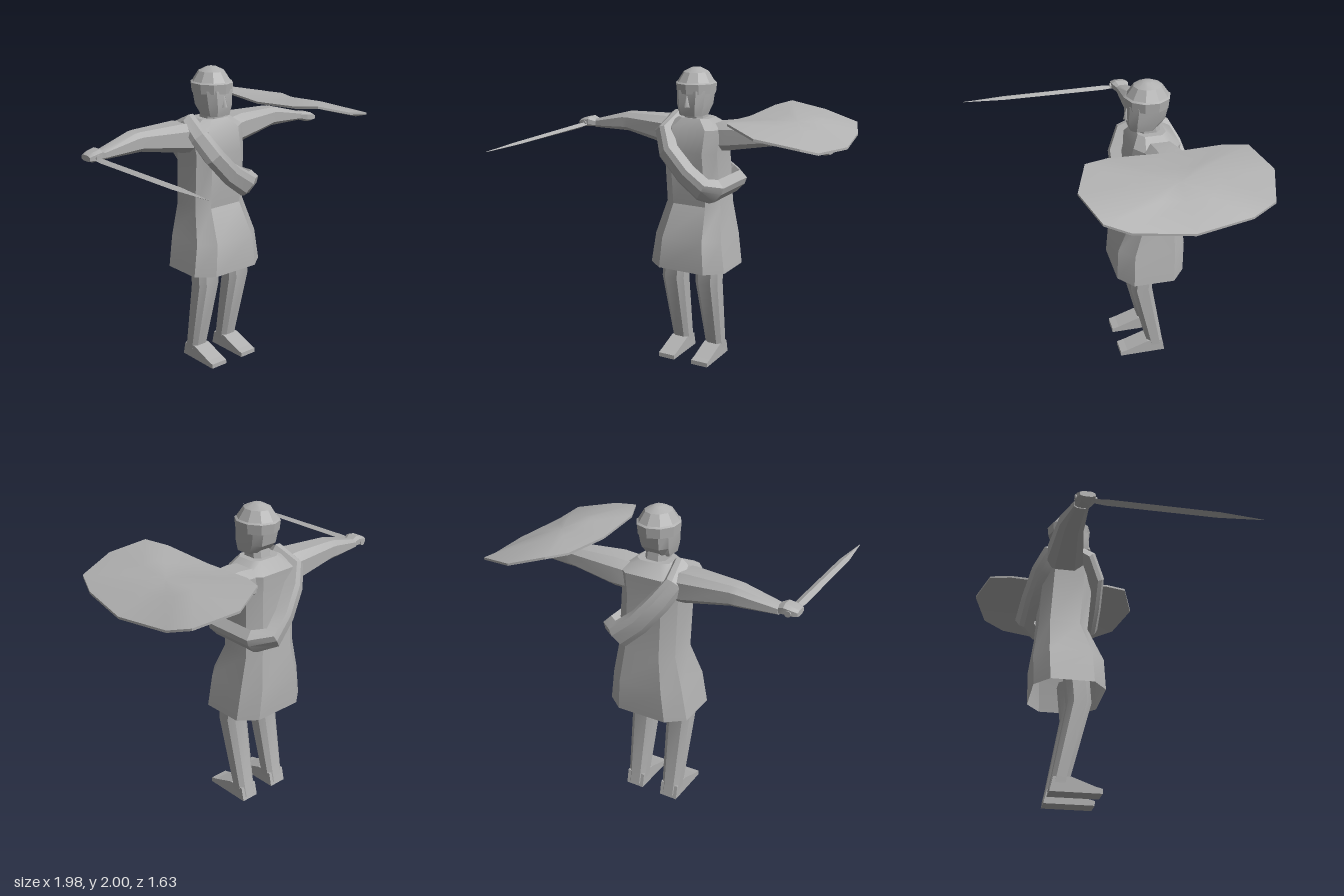
import * as THREE from 'three';
import { toCreasedNormals } from 'three/addons/utils/BufferGeometryUtils.js';

const V = (x, y, z) => new THREE.Vector3(x, y, z);
const CX = -0.058; // centre line of the figure

export function createModel() {
  const model = new THREE.Group();
  const grey = new THREE.MeshStandardMaterial({ color: 0xb0b0b0, side: THREE.DoubleSide });
  grey.name = 'plainGrey';

  function add(name, geo, parent = model) {
    const mesh = new THREE.Mesh(geo, grey);
    mesh.name = name;
    parent.add(mesh);
    return mesh;
  }

  // Skin a list of equal-sized rings; optionally cap the ends or close the loop
  function loft(rings, { start = true, end = true, loop = false, crease = 0.6 } = {}) {
    const n = rings[0].length, m = rings.length, pos = [], idx = [];
    rings.forEach(r => r.forEach(p => pos.push(p.x, p.y, p.z)));
    for (let i = 0; i < (loop ? m : m - 1); i++) {
      for (let j = 0; j < n; j++) {
        const a = i * n + j, b = i * n + (j + 1) % n;
        const k = ((i + 1) % m) * n, c = k + j, d = k + (j + 1) % n;
        idx.push(a, b, d, a, d, c);
      }
    }
    const cap = (i, flip) => {
      const c = rings[i].reduce((s, p) => s.add(p), V(0, 0, 0)).divideScalar(n);
      const ci = pos.length / 3;
      pos.push(c.x, c.y, c.z);
      for (let j = 0; j < n; j++) {
        const a = i * n + j, b = i * n + (j + 1) % n;
        idx.push(...(flip ? [ci, b, a] : [ci, a, b]));
      }
    };
    if (!loop && start) cap(0, true);
    if (!loop && end) cap(m - 1, false);
    const g = new THREE.BufferGeometry();
    g.setAttribute('position', new THREE.Float32BufferAttribute(pos, 3));
    g.setIndex(idx);
    return toCreasedNormals(g, crease);
  }

  // Eight-sided outline, with half sizes u and v and cut corners
  const oct = (u, v, k = 0.55) => [[u, -v * k], [u, v * k], [u * k, v], [-u * k, v],
    [-u, v * k], [-u, -v * k], [-u * k, -v], [u * k, -v]].reverse();
  // Level ring from height, centre x, half width, front z and back z
  const level = ([y, cx, hx, zf, zb], k) =>
    oct(hx, (zf - zb) / 2, k).map(([x, z]) => V(cx + x, y, (zf + zb) / 2 + z));

  // Tunic, open at the hem
  add('tunic', loft([
    [0.67, -0.052, 0.278, -0.02, -0.47],
    [0.88, -0.05, 0.247, -0.03, -0.475],
    [1.1, -0.048, 0.2, -0.13, -0.445],
    [1.46, CX, 0.195, -0.1, -0.425],
    [1.61, CX, 0.205, -0.13, -0.43],
    [1.675, CX, 0.11, -0.17, -0.35],
  ].map(r => level(r, 0.6)), { start: false, crease: 0.5 }));

  // Neck, head and nose
  add('neck', loft([
    [1.64, CX, 0.07, -0.18, -0.33],
    [1.74, CX, 0.065, -0.17, -0.31],
  ].map(r => level(r))));
  add('head', loft([
    [1.695, CX, 0.08, -0.13, -0.29],
    [1.76, CX, 0.096, -0.115, -0.345],
    [1.86, CX, 0.104, -0.12, -0.365],
  ].map(r => level(r, 0.6)), { crease: 0.4 }));
  const nose = add('nose', new THREE.ConeGeometry(0.025, 0.08, 4));
  nose.position.set(CX, 1.795, -0.118);

  // Helmet with a raised brim band
  const helmet = add('helmet', toCreasedNormals(new THREE.LatheGeometry(
    [[0, 1.85], [0.128, 1.838], [0.134, 1.9], [0.122, 1.908], [0.083, 1.97], [0.03, 1.997], [0, 2]]
      .map(p => new THREE.Vector2(...p)), 10), 0.4));
  helmet.scale.z = 1.09;
  helmet.position.set(CX, 0, -0.245);

  // Arms and hands, mirrored about the centre line
  for (const s of [-1, 1]) {
    const side = s > 0 ? 'left' : 'right';
    const across = ([d, y, z, ry, rz]) => oct(rz, ry).map(([a, b]) => V(CX + s * d, y + b, z + a));
    add(side + 'Arm', loft([
      [0.1, 1.55, -0.285, 0.09, 0.11],
      [0.24, 1.568, -0.3, 0.093, 0.115],
      [0.54, 1.59, -0.312, 0.062, 0.078],
      [0.58, 1.588, -0.312, 0.06, 0.077],
      [0.82, 1.555, -0.295, 0.028, 0.045],
    ].map(across)));
    const lift = s < 0 ? 0.01 : -0.01;
    add(side + 'Hand', loft([
      [0.8, 1.555, -0.292, 0.024, 0.04],
      [0.85, 1.557 + lift, -0.283, 0.034, 0.058],
      [0.9, 1.55 + lift, -0.28, 0.03, 0.056],
      [0.932, 1.545 + lift, -0.278, 0.018, 0.045],
    ].map(across), { crease: 0.4 }));
  }

  // Legs lean back to the heel; feet are wedges
  const footShape = new THREE.Shape([[0.36, 0], [0.045, 0], [0.045, 0.03], [0.09, 0.042],
    [0.235, 0.095], [0.34, 0.09]].map(p => new THREE.Vector2(...p)));
  for (const s of [-1, 1]) {
    const side = s > 0 ? 'left' : 'right';
    const x = -0.052 + s * 0.129;
    add(side + 'Leg', loft([
      [0.02, x, 0.06, -0.245, -0.36],
      [0.09, x, 0.062, -0.235, -0.345],
      [0.57, x, 0.083, -0.112, -0.257],
      [0.8, x - s * 0.005, 0.085, -0.13, -0.28],
    ].map(r => level(r))));
    const foot = add(side + 'Foot',
      new THREE.ExtrudeGeometry(footShape, { depth: 0.122, bevelEnabled: false }));
    foot.rotation.y = Math.PI / 2;
    foot.position.x = x - 0.061;
  }

  // Blanket roll slung from the right shoulder to the left hip
  const centre = V(-0.05, 1.42, -0.28);
  const path = [
    [-0.25, 1.69, -0.27, 0.055], [-0.275, 1.6, -0.11, 0.06], [-0.2, 1.46, -0.035, 0.065],
    [-0.06, 1.31, -0.03, 0.068], [0.08, 1.21, -0.03, 0.075], [0.175, 1.18, -0.11, 0.083],
    [0.175, 1.18, -0.45, 0.083], [0.06, 1.22, -0.56, 0.075], [-0.08, 1.34, -0.535, 0.068],
    [-0.2, 1.49, -0.49, 0.065], [-0.275, 1.61, -0.42, 0.06],
  ];
  const at = i => V(...path[(i + path.length) % path.length]);
  add('blanketRoll', loft(path.map((q, i) => {
    const p = at(i), t = at(i + 1).sub(at(i - 1)).normalize();
    const out = p.clone().sub(centre);
    out.addScaledVector(t, -out.dot(t)).normalize();
    const w = t.clone().cross(out);
    return [[-1, -0.09], [-1, -0.02], [-0.5, 0], [0.5, 0], [1, -0.02], [1, -0.09]].map(([a, b]) =>
      p.clone().addScaledVector(w, a * q[3]).addScaledVector(out, b));
  }), { loop: true, crease: 0.4 }));

  // Sword held forward in the right hand
  const sword = new THREE.Group();
  sword.name = 'sword';
  sword.position.set(-0.938, 1.546, 0);
  model.add(sword);
  add('blade', loft([
    [-0.24, 0.02, 0.012], [-0.16, 0.032, 0.017], [0.53, 0.03, 0.01], [0.81, 0.002, 0.002],
  ].map(([z, w, h]) => [V(w, 0, z), V(0, h, z), V(-w, 0, z), V(0, -h, z)]), { crease: 0.3 }), sword);
  const grip = add('grip', new THREE.CylinderGeometry(0.018, 0.02, 0.13, 8), sword);
  grip.rotation.x = Math.PI / 2;
  grip.position.set(0, 0.01, -0.28);

  // Shallow curved shield above the left arm
  const half = [[0.335, 1.715, 0], [0.35, 1.735, 0.345], [0.41, 1.75, 0.49], [0.62, 1.695, 0.575],
    [0.875, 1.645, 0.49], [0.93, 1.6, 0.345], [0.985, 1.578, 0]];
  const rim = [...half, ...half.slice(1, 6).reverse().map(([x, y, z]) => [x, y, -z])]
    .map(([x, y, z]) => V(x, y, z - 0.245));
  const boss = V(0.66, 1.715, -0.245);
  const inner = rim.map(p => p.clone().lerp(boss, 0.6).add(V(0, 0.005, 0)));
  const lower = ring => ring.map(p => p.clone().add(V(0, -0.014, 0)));
  add('shield', loft([lower(inner), lower(rim), rim, inner], { crease: 0.35 }));

  return model;
}
